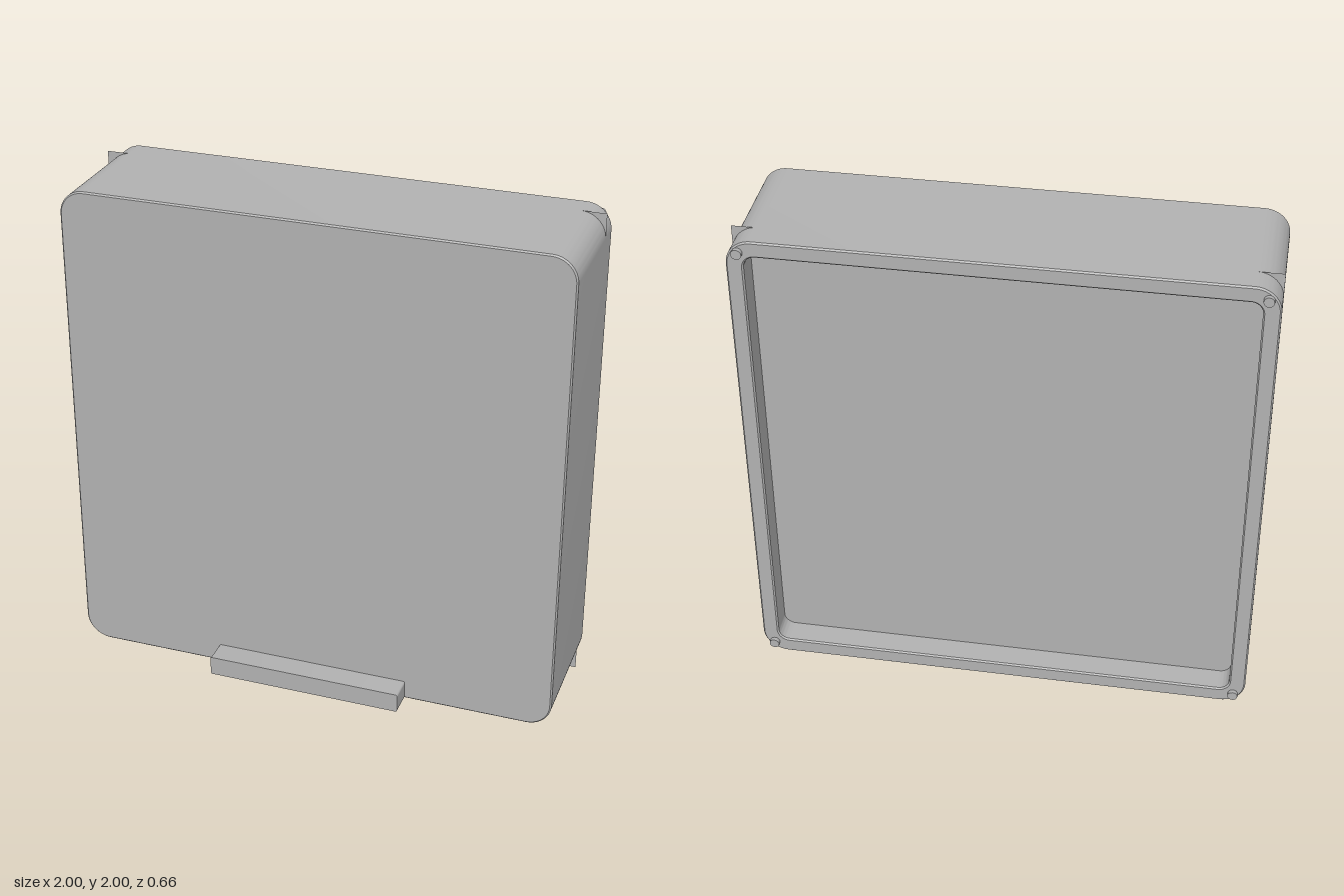
import * as THREE from 'three';
import { toCreasedNormals } from 'three/addons/utils/BufferGeometryUtils.js';

// Rectangle path with rounded corners, centred on the origin
function roundedRect(w, h, r, PathType = THREE.Shape) {
  const x = w / 2, y = h / 2, p = new PathType();
  p.moveTo(-x + r, -y);
  p.lineTo(x - r, -y);
  p.absarc(x - r, -y + r, r, -Math.PI / 2, 0);
  p.lineTo(x, y - r);
  p.absarc(x - r, y - r, r, 0, Math.PI / 2);
  p.lineTo(-x + r, y);
  p.absarc(-x + r, y - r, r, Math.PI / 2, Math.PI);
  p.lineTo(-x, -y + r);
  p.absarc(-x + r, -y + r, r, Math.PI, Math.PI * 1.5);
  return p;
}

// Extrusion from z0 to z1 with a small chamfer kept inside the outline
function slab(shape, z0, z1, chamfer) {
  const geometry = new THREE.ExtrudeGeometry(shape, {
    depth: z1 - z0 - 2 * chamfer,
    bevelEnabled: chamfer > 0,
    bevelSize: chamfer,
    bevelThickness: chamfer,
    bevelOffset: -chamfer,
    bevelSegments: 1,
    curveSegments: 10,
  });
  geometry.translate(0, 0, z0 + chamfer);
  return toCreasedNormals(geometry, 0.5);
}

export function createModel() {
  const model = new THREE.Group();
  const grey = new THREE.MeshStandardMaterial({ color: 0xb2b2b2 });
  grey.name = 'grey';
  const greySheet = new THREE.MeshStandardMaterial({ color: 0xb2b2b2, side: THREE.DoubleSide });
  greySheet.name = 'grey sheet';

  const add = (name, geometry, material, x, y, z) => {
    const mesh = new THREE.Mesh(geometry, material);
    mesh.name = name;
    mesh.position.set(x, y, z);
    model.add(mesh);
    return mesh;
  };

  // Case walls: rounded square ring, with the rim of the recess at the back
  const walls = roundedRect(2, 2, 0.1);
  walls.holes.push(roundedRect(1.87, 1.87, 0.045, THREE.Path));
  add('caseWalls', slab(walls, -0.313, 0.23, 0.006), grey, 0, 1, 0);

  // Front face closing the case
  add('frontFace', new THREE.ShapeGeometry(roundedRect(1.988, 1.988, 0.094), 10), grey, 0, 1, 0.2303);

  // Square sheet forming the recess floor; its corners poke past the rounded case
  add('recessFloor', new THREE.PlaneGeometry(2, 2), greySheet, 0, 1, -0.21);

  // Ledge at the foot of the front
  add('frontLedge', slab(roundedRect(0.8, 0.08, 0.008), 0.22, 0.33, 0), grey, 0, 0.04, 0);

  // Four screws on the rim corners
  const screw = new THREE.CylinderGeometry(0.02, 0.02, 0.03, 16);
  screw.rotateX(Math.PI / 2);
  for (const x of [-0.953, 0.953]) {
    for (const y of [-0.953, 0.953]) add('screw', screw, grey, x, 1 + y, -0.315);
  }

  return model;
}
